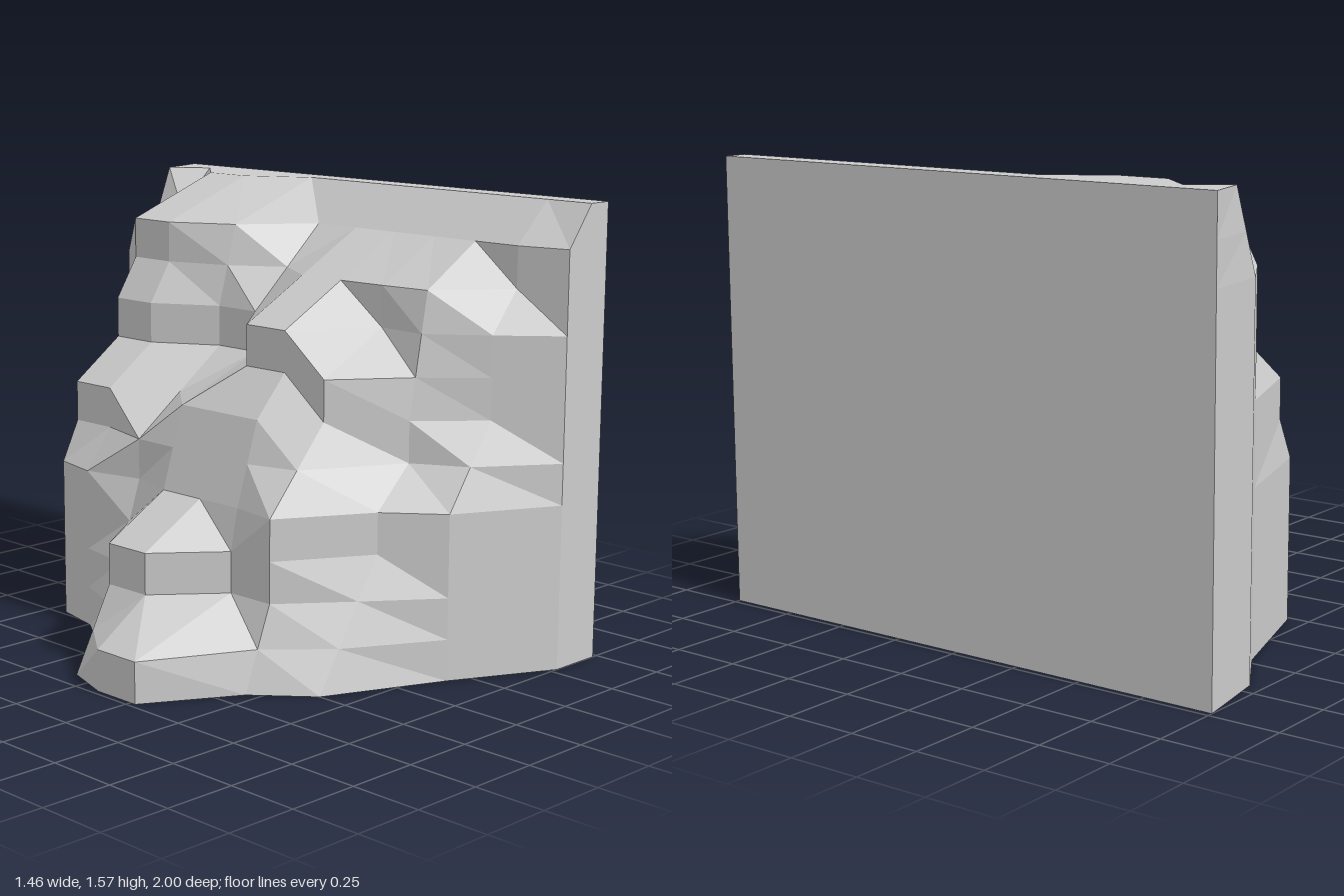
import * as THREE from 'three';

const LEVELS = 11, STEP = 1.57 / LEVELS, WALL = 0.73;

// An upright section of the slope. Each step is [x, fromLevel, toLevel]: a
// sheer face, or a single corner if toLevel is left out; ramps join the steps.
// Every section finishes at the common crest unless it reaches the top itself.
function section(z, ...steps) {
  const points = steps.flatMap(([x, from, to = from]) => [[x, from], [x, to]]);
  const top = points.at(-1)[1];
  if (top < LEVELS - 1) points.push([0.49, LEVELS - 1]);
  if (top < LEVELS) points.push([0.64, LEVELS]);
  return Array.from({ length: LEVELS + 1 }, (_, level) => {
    const k = Math.max(1, points.findIndex((p) => p[1] >= level));
    const [x0, l0] = points[k - 1], [x1, l1] = points[k];
    const t = l1 > l0 ? (level - l0) / (l1 - l0) : 0;
    return new THREE.Vector3(x0 + (x1 - x0) * t, level * STEP, z);
  });
}

// Sections are evenly spaced along z, counted from the front end.
const row = (n) => 1 - n * 2 / 11;

function slopeSections() {
  const shoulder = [[-0.16, 5, 6], [0.04, 7, 8], [0.13, 9, 10], [0.51, LEVELS]];
  const waist = [[-0.27, 4], [-0.18, 6]];
  const shelf = [0.17, 7, 8], bench = [-0.05, 7, 8], toe = [-0.73, 0, 1];
  return [
    // back end
    section(-1, [WALL, 0, LEVELS]),
    section(-0.95, [0.44, 0, 9], [0.55, LEVELS]),
    section(row(10), [0.22, 0, 9]),
    // tall shoulder
    section(row(9) - 0.04, [-0.23, 0, 4], ...shoulder),
    section(row(8) - 0.04, [-0.27, 0, 4], ...shoulder),
    // gully
    section(row(7), [-0.41, 0], [-0.22, 4, 5], shelf, [0.25, 10]),
    // long spur
    section(row(6), [-0.67, 0], [-0.52, 2, 3], ...waist, shelf),
    section(row(5), toe, [-0.52, 2, 3], ...waist, bench),
    section(row(4), toe, [-0.3, 2, 3], ...waist, bench),
    // front flank
    section(row(3), [-0.41, 0], [-0.3, 2, 4], [-0.05, 6, 7], [0.23, 8, 9]),
    section(row(2), [-0.25, 0], [0.02, 3, 4], [0.17, 5, 6], [0.25, 9]),
    section(row(1), [0.17, 0, 4], [0.37, 6, 8], [0.49, 9, 10]),
    section(1, [0.53, 0, 10]),
  ];
}

function mesh(name, quads) {
  const corners = [];
  for (const [a, b, c, d] of quads) {
    // split each quad along its shorter diagonal
    corners.push(...(a.distanceTo(c) <= b.distanceTo(d) ? [a, b, c, a, c, d] : [a, b, d, b, c, d]));
  }
  const geometry = new THREE.BufferGeometry().setFromPoints(corners);
  geometry.computeVertexNormals();
  const part = new THREE.Mesh(geometry, new THREE.MeshStandardMaterial({ color: 0xcccccc, flatShading: true }));
  part.name = name;
  return part;
}

export function createModel() {
  const front = slopeSections();
  const back = front.map((s) => s.map((p) => new THREE.Vector3(WALL, p.y, p.z)));
  const last = front.length - 1;
  const slope = [], base = [], crest = [], end = [];

  for (let i = 0; i < last; i++) {
    const f = front[i], g = front[i + 1], b = back[i], c = back[i + 1];
    for (let j = 0; j < LEVELS; j++) slope.push([f[j], g[j], g[j + 1], f[j + 1]]);
    crest.push([f[LEVELS], g[LEVELS], c[LEVELS], b[LEVELS]]);
    base.push([b[0], c[0], g[0], f[0]]);
  }
  // flat front end of the block
  for (let j = 0; j < LEVELS; j++) {
    end.push([front[last][j], back[last][j], back[last][j + 1], front[last][j + 1]]);
  }
  // flat side behind the slope
  const wall = [[back[last][0], back[0][0], back[0][LEVELS], back[last][LEVELS]]];

  const group = new THREE.Group();
  group.name = 'cliffRock';
  group.add(
    mesh('rockySlope', slope), mesh('flatWall', wall), mesh('base', base),
    mesh('crest', crest), mesh('endFace', end),
  );
  return group;
}
